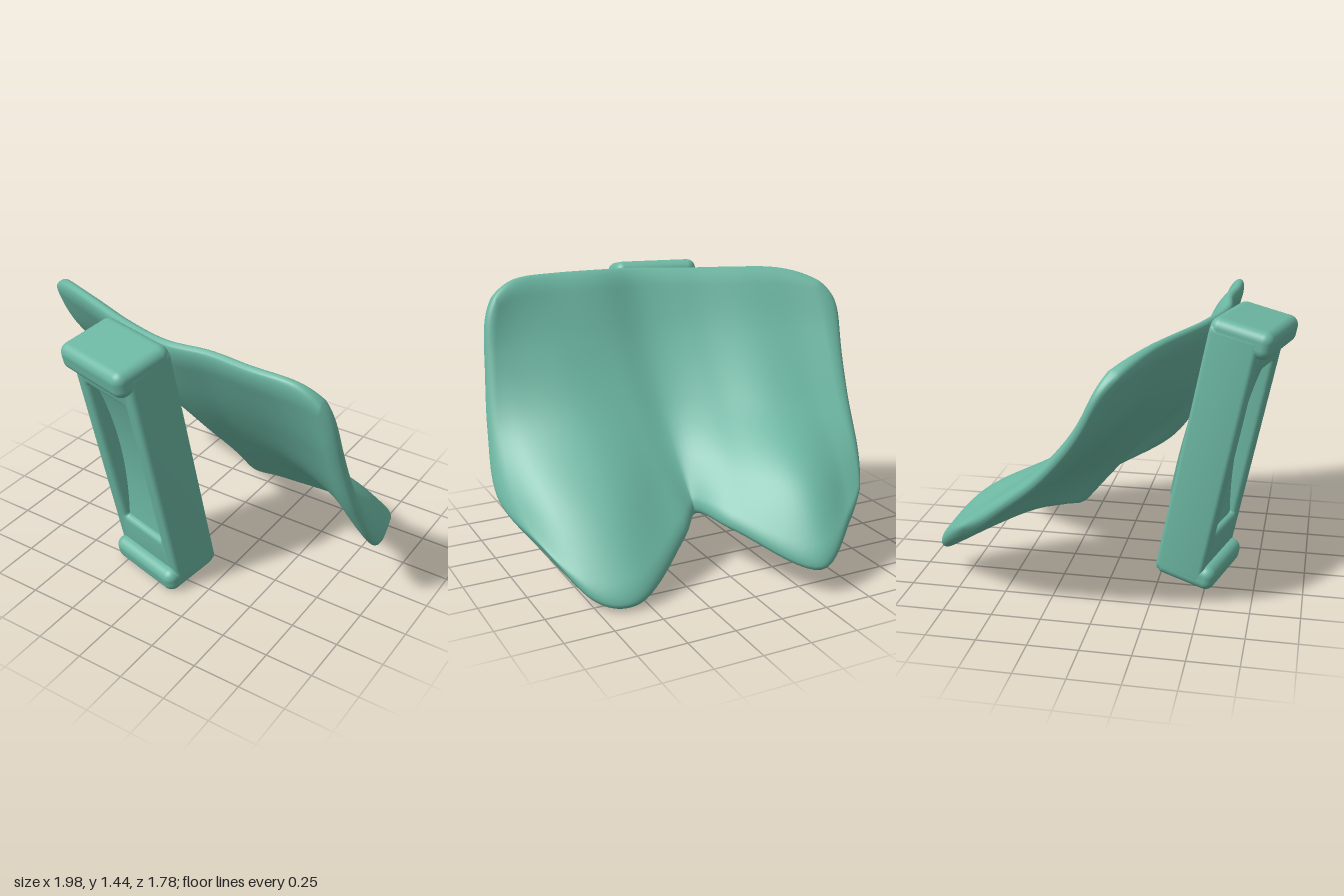
import * as THREE from 'three';
import { mergeVertices, toCreasedNormals } from 'three/addons/utils/BufferGeometryUtils.js';
import { RoundedBoxGeometry } from 'three/addons/geometries/RoundedBoxGeometry.js';

const material = new THREE.MeshStandardMaterial({ color: 0x6cb7a2 });

function addMesh(parent, name, geometry, x = 0, y = 0, z = 0) {
  const mesh = new THREE.Mesh(geometry, material);
  mesh.name = name;
  mesh.position.set(x, y, z);
  parent.add(mesh);
  return mesh;
}

function roundedRect(path, w, h, r, cy = 0) {
  const x = w / 2, t = cy + h / 2, b = cy - h / 2;
  path.moveTo(-x + r, b);
  path.lineTo(x - r, b).quadraticCurveTo(x, b, x, b + r);
  path.lineTo(x, t - r).quadraticCurveTo(x, t, x - r, t);
  path.lineTo(-x + r, t).quadraticCurveTo(-x, t, -x, t - r);
  path.lineTo(-x, b + r).quadraticCurveTo(-x, b, -x + r, b);
  return path;
}

// Two-lobed sheet: lengthwise lines from the top edge to the lobe tips, right to left
const capeLines = [
  [[-1.02, 1.37, .12], [-.96, 1.06, 0], [-.88, .79, -.2], [-.79, .57, -.43], [-.7, .38, -.63]],
  [[-.75, 1.4, .28], [-.75, 1.06, .09], [-.69, .77, -.17], [-.6, .49, -.54], [-.53, .28, -.77]],
  [[-.5, 1.4, .38], [-.5, 1.05, .16], [-.45, .74, -.16], [-.37, .46, -.61], [-.3, .13, -.88]],
  [[-.22, 1.4, .48], [-.22, 1.05, .28], [-.2, .74, 0], [-.12, .48, -.32], [-.01, .25, -.51]],
  [[.05, 1.41, .55], [.06, 1.05, .36], [.07, .75, .14], [.08, .5, -.08], [.08, .27, -.27]],
  [[.28, 1.42, .54], [.28, 1.05, .35], [.27, .74, .13], [.25, .44, -.14], [.2, .2, -.38]],
  [[.52, 1.42, .56], [.55, 1.05, .37], [.55, .72, .14], [.55, .34, -.3], [.56, .02, -.61]],
  [[.74, 1.42, .55], [.79, 1.05, .42], [.81, .7, .23], [.79, .35, -.18], [.74, .02, -.55]],
  [[.92, 1.39, .52], [.94, 1.03, .45], [.98, .67, .33], [1, .37, .14], [.9, .18, -.27]],
];

function capeGeometry(nu = 110, nv = 70, half = 0.042, rim = 0.07) {
  const lines = capeLines.map(l => new THREE.CatmullRomCurve3(l.map(p => new THREE.Vector3(...p))));
  const ease = t => t - 0.8 * Math.sin(2 * Math.PI * t) / (2 * Math.PI); // finer steps near the rim
  const rounded = (t, other) => 0.5 + (t - 0.5) * Math.sqrt(1 - 0.18 * (2 * other - 1) ** 8); // softens the corners
  const points = [], thickness = [], index = [];
  for (let j = 0; j <= nv; j++) {
    const v = ease(j / nv);
    for (let i = 0; i <= nu; i++) {
      const u = ease(i / nu);
      const across = new THREE.CatmullRomCurve3(lines.map(c => c.getPoint(rounded(v, u))));
      points.push(across.getPoint(rounded(u, v)));
      const d = Math.min(1, Math.min(u * 1.4, (1 - u) * 1.4, v, 1 - v) / rim);
      thickness.push(half * Math.sqrt(Math.max(0, 1 - (1 - d) ** 2)));
      if (i < nu && j < nv) {
        const a = j * (nu + 1) + i, b = a + 1, c = a + nu + 1;
        index.push(a, b, c, b, c + 1, c);
      }
    }
  }
  // Offset the middle surface both ways and weld the two skins at the rim
  const middle = new THREE.BufferGeometry().setFromPoints(points);
  middle.setIndex(index);
  middle.computeVertexNormals();
  const normal = new THREE.Vector3(), both = [];
  for (const side of [1, -1]) {
    points.forEach((p, k) => {
      normal.fromBufferAttribute(middle.attributes.normal, k);
      both.push(p.clone().addScaledVector(normal, side * thickness[k]));
    });
  }
  const all = [...index];
  for (let k = 0; k < index.length; k += 3) {
    all.push(index[k] + points.length, index[k + 2] + points.length, index[k + 1] + points.length);
  }
  let geometry = new THREE.BufferGeometry().setFromPoints(both);
  geometry.setIndex(all);
  geometry = mergeVertices(geometry, 1e-5);
  geometry.computeVertexNormals();
  return geometry;
}

export function createModel() {
  const model = new THREE.Group();
  model.name = 'cape with clasp';
  addMesh(model, 'cape', capeGeometry());

  // Clasp, leaning forward and turned slightly to the right
  const clasp = new THREE.Group();
  clasp.name = 'clasp';
  clasp.position.set(-0.097, 0.71, 0.554);
  clasp.rotation.set(0.2, -0.25, 0, 'YXZ');
  model.add(clasp);

  // Frame with a long window
  const bevel = 0.025;
  const outline = roundedRect(new THREE.Shape(), 0.46 - 2 * bevel, 1.34, 0.03);
  outline.holes.push(roundedRect(new THREE.Path(), 0.31 + bevel, 0.93, 0.04, 0.035));
  const frame = new THREE.ExtrudeGeometry(outline, {
    depth: 0.26 - 2 * bevel, bevelSize: bevel, bevelThickness: bevel, bevelSegments: 4, curveSegments: 6,
  });
  addMesh(clasp, 'claspFrame', toCreasedNormals(frame, 0.7), 0, 0, -0.145 + bevel);

  // Hooked ends
  addMesh(clasp, 'topLip', new RoundedBoxGeometry(0.458, 0.14, 0.325, 6, 0.05), 0, 0.645, 0.0125);
  addMesh(clasp, 'bottomLip', new RoundedBoxGeometry(0.458, 0.13, 0.325, 6, 0.05), 0, -0.64, 0.0125);

  // Curved spring plate in the window, stepped at the back (profile in depth and height)
  const profile = new THREE.Shape();
  profile.moveTo(0.08, 0.51);
  profile.bezierCurveTo(0.01, 0.2, 0.01, -0.1, 0.09, -0.44);
  profile.lineTo(-0.1, -0.44);
  profile.lineTo(-0.1, -0.28);
  profile.lineTo(-0.17, -0.27);
  profile.bezierCurveTo(-0.175, 0, -0.16, 0.2, -0.12, 0.51);
  const spring = new THREE.ExtrudeGeometry(profile, { depth: 0.32, bevelEnabled: false, curveSegments: 20 });
  spring.translate(0, 0, -0.16).rotateY(-Math.PI / 2);
  addMesh(clasp, 'springPlate', toCreasedNormals(spring, 0.5));

  // Small raised pad on the back
  addMesh(clasp, 'backPad', new RoundedBoxGeometry(0.22, 0.1, 0.04, 4, 0.015), 0, -0.52, -0.14);
  return model;
}
